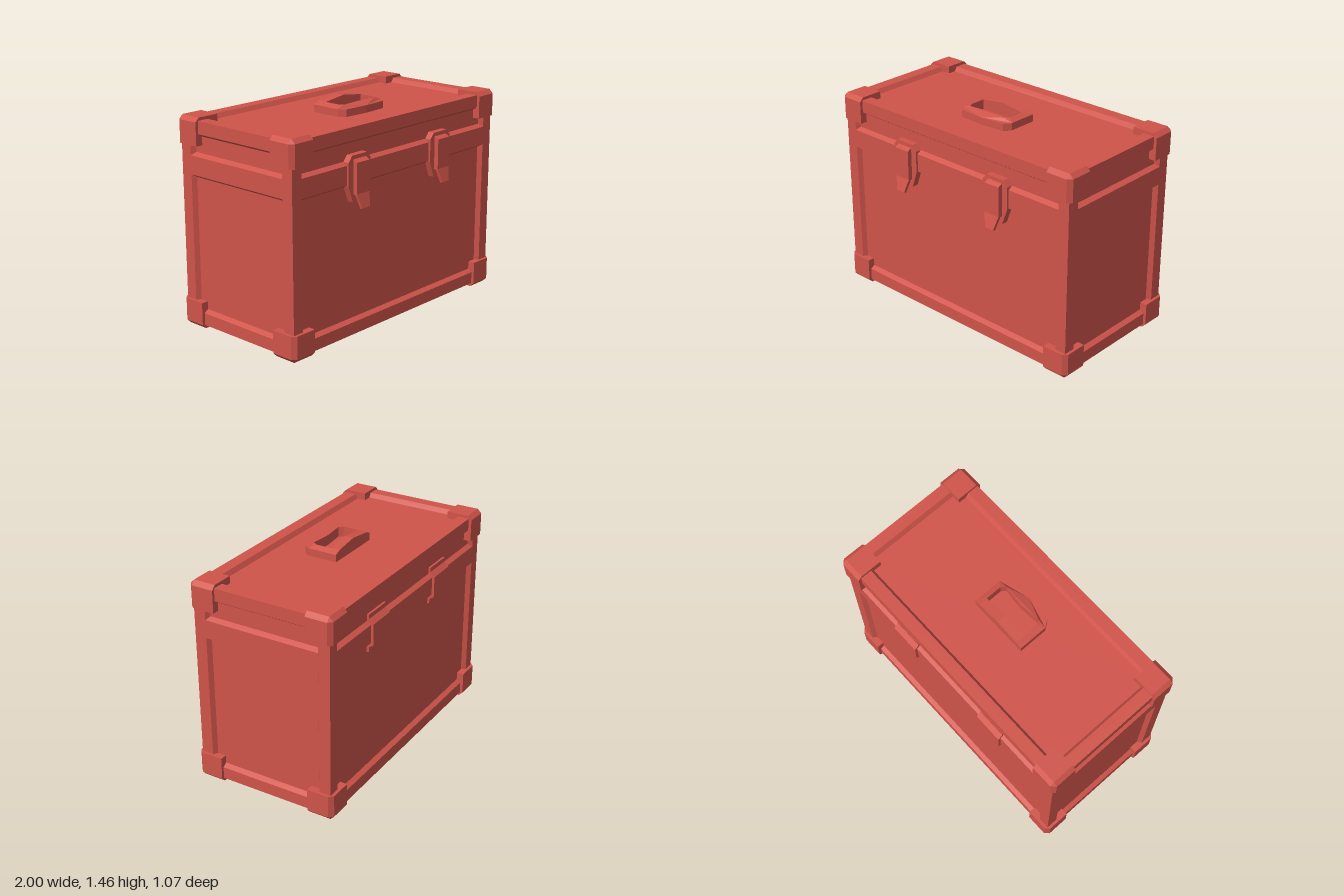
import * as THREE from 'three';
import { mergeGeometries } from 'three/addons/utils/BufferGeometryUtils.js';
import { ConvexGeometry } from 'three/addons/geometries/ConvexGeometry.js';

const red = new THREE.MeshStandardMaterial({ color: 0xd0544a });
red.name = 'red paint';

// case limits
const HX = 0.98, Y0 = 0.025, Y1 = 1.395, ZF = 0.468, ZB = -0.515;
const ZC = (ZF + ZB) / 2, HZ = (ZF - ZB) / 2;
const DEPTH = 0.03, SLOPE = 0.02;

const points = (list) => list.map(([x, y]) => new THREE.Vector2(x, y));

function mesh(name, geometry, parent) {
  const m = new THREE.Mesh(geometry, red);
  m.name = name;
  parent.add(m);
  return m;
}

// flat wall facing +z with recessed panels [x0, y0, x1, y1] that have sloped rims
function wall(x0, y0, x1, y1, panels) {
  const rect = (a, b, c, d) => points([[a, b], [c, b], [c, d], [a, d]]);
  const shape = new THREE.Shape(rect(x0, y0, x1, y1));
  const tris = [];
  const quad = (a, b, c, d) => tris.push(...a, ...b, ...c, ...a, ...c, ...d);
  for (const [a, b, c, d] of panels) {
    shape.holes.push(new THREE.Path(rect(a, b, c, d)));
    const s = SLOPE;
    const outer = [[a, b, 0], [c, b, 0], [c, d, 0], [a, d, 0]];
    const inner = [[a + s, b + s, -DEPTH], [c - s, b + s, -DEPTH], [c - s, d - s, -DEPTH], [a + s, d - s, -DEPTH]];
    for (let i = 0; i < 4; i++) {
      const j = (i + 1) % 4;
      quad(outer[i], outer[j], inner[j], inner[i]);
    }
    quad(...inner);
  }
  const parts = [new THREE.ShapeGeometry(shape).toNonIndexed()];
  parts[0].deleteAttribute('uv');
  if (tris.length) {
    const g = new THREE.BufferGeometry();
    g.setAttribute('position', new THREE.Float32BufferAttribute(tris, 3));
    g.computeVertexNormals();
    parts.push(g);
  }
  return mergeGeometries(parts);
}

// extrude a (z, y) profile across x, centred
function sideProfile(list, width) {
  const g = new THREE.ExtrudeGeometry(new THREE.Shape(points(list)), { depth: width, bevelEnabled: false });
  return g.translate(0, 0, -width / 2).rotateY(-Math.PI / 2);
}

function buildCase(root) {
  const body = new THREE.Group();
  body.name = 'caseBody';
  root.add(body);
  const panels = (w) => [[-w, 0.108, w, 1.035], [-w, 1.16, w, 1.31]];
  const long = wall(-HX, Y0, HX, Y1, panels(0.9));
  const short = wall(-HZ, Y0, HZ, Y1, panels(0.41));
  mesh('frontWall', long, body).position.z = ZF;
  const back = mesh('backWall', long, body);
  back.position.z = ZB;
  back.rotation.y = Math.PI;
  for (const s of [1, -1]) {
    const side = mesh(s > 0 ? 'leftWall' : 'rightWall', short, body);
    side.position.set(s * HX, 0, ZC);
    side.rotation.y = s * Math.PI / 2;
  }
  const top = mesh('lidTop', wall(-HX, -HZ, HX, HZ, [[-0.9, -0.41, 0.9, 0.41]]), body);
  top.position.set(0, Y1, ZC);
  top.rotation.x = -Math.PI / 2;
  const bottom = mesh('bottom', wall(-HX, -HZ, HX, HZ, []), body);
  bottom.position.set(0, Y0, ZC);
  bottom.rotation.x = Math.PI / 2;
}

// block with its three outer edges chamfered; signs point outwards
function cornerGuard(sx, sy, sz) {
  const s = 0.182, c = 0.028, t = s - c;
  const pts = [new THREE.Vector3(0, 0, 0)];
  for (const a of [0, t]) for (const b of [0, t]) {
    pts.push(new THREE.Vector3(s, a, b), new THREE.Vector3(a, s, b), new THREE.Vector3(a, b, s));
  }
  pts.forEach((p) => p.subScalar(s).multiply(new THREE.Vector3(sx, sy, sz)));
  return new ConvexGeometry(pts);
}

function buildLatch(root, x) {
  const latch = new THREE.Group();
  latch.name = 'latch';
  latch.position.x = x;
  root.add(latch);
  const outline = [[-0.07, 1.22], [-0.102, 1.18], [-0.102, 1.03], [-0.062, 0.918],
    [0.062, 0.918], [0.102, 1.03], [0.102, 1.18], [0.07, 1.22]];
  const plate = new THREE.ExtrudeGeometry(new THREE.Shape(points(outline)), { depth: 0.05, bevelEnabled: false });
  mesh('latchPlate', plate.translate(0, 0, 0.432), latch);

  mesh('latchBlock', sideProfile([[0.47, 1.195], [0.482, 1.195], [0.513, 1.178],
    [0.513, 0.97], [0.47, 0.97]], 0.116), latch);

  // flap leans outwards and narrows towards its tip
  const flap = sideProfile([[0.513, 0.975], [0.537, 0.885], [0.52, 0.877], [0.494, 0.97]], 0.116);
  const p = flap.attributes.position;
  for (let i = 0; i < p.count; i++) if (p.getY(i) < 0.9) p.setX(i, p.getX(i) * 0.6);
  flap.computeVertexNormals();
  mesh('latchFlap', flap, latch);
}

function buildHinge(root, x) {
  // strap bends over the band and into the recesses above and below it
  const strap = sideProfile([[-0.48, 1.225], [-0.5, 1.225], [-0.5, 1.195], [-0.532, 1.165],
    [-0.532, 1.02], [-0.5, 1.0], [-0.5, 0.965], [-0.48, 0.965]], 0.205);
  mesh('hinge', strap, root).position.x = x;
}

function buildHandle(root) {
  const handle = new THREE.Group();
  handle.name = 'handle';
  root.add(handle);
  // ring outline in (x, -z)
  const ring = new THREE.Shape(points([[-0.213, 0.085], [-0.213, -0.12], [-0.18, -0.168],
    [0, -0.18], [0.18, -0.168], [0.213, -0.12], [0.213, 0.085]]));
  ring.holes.push(new THREE.Path(points([[-0.168, 0.022], [0.172, 0.022], [0.172, -0.09],
    [0.15, -0.12], [0, -0.106], [-0.15, -0.12], [-0.168, -0.09]])));
  const g = new THREE.ExtrudeGeometry(ring, { depth: 0.06, bevelEnabled: false });
  g.rotateX(-Math.PI / 2).translate(0, 1.355, 0);
  // raise the inner rim so the top slopes
  const p = g.attributes.position;
  for (let i = 0; i < p.count; i++) {
    const x = p.getX(i), z = p.getZ(i);
    const inner = Math.abs(x) < 0.175 && z > -0.05 && z < 0.13;
    if (inner && p.getY(i) > 1.4) p.setY(i, 1.434);
  }
  g.computeVertexNormals();
  mesh('handleRing', g, handle);

  const bar = new THREE.Shape(points([[-0.213, 1.38], [0.213, 1.38], [0.213, 1.415],
    [0.17, 1.434], [0, 1.456], [-0.17, 1.434], [-0.213, 1.415]]));
  const grip = new THREE.ExtrudeGeometry(bar, { depth: 0.063, bevelEnabled: false });
  mesh('handleGrip', grip.translate(0, 0, -0.085), handle);
}

export function createModel() {
  const root = new THREE.Group();
  root.name = 'storageCase';
  buildCase(root);
  for (const sx of [1, -1]) {
    for (const sy of [1, -1]) for (const sz of [1, -1]) {
      const guard = mesh('cornerGuard', cornerGuard(sx, sy, sz), root);
      guard.position.set(sx, sy > 0 ? 1.415 : 0, sz > 0 ? 0.488 : -0.536);
    }
    buildLatch(root, sx * 0.4);
    buildHinge(root, sx * 0.4);
  }
  buildHandle(root);
  return root;
}
